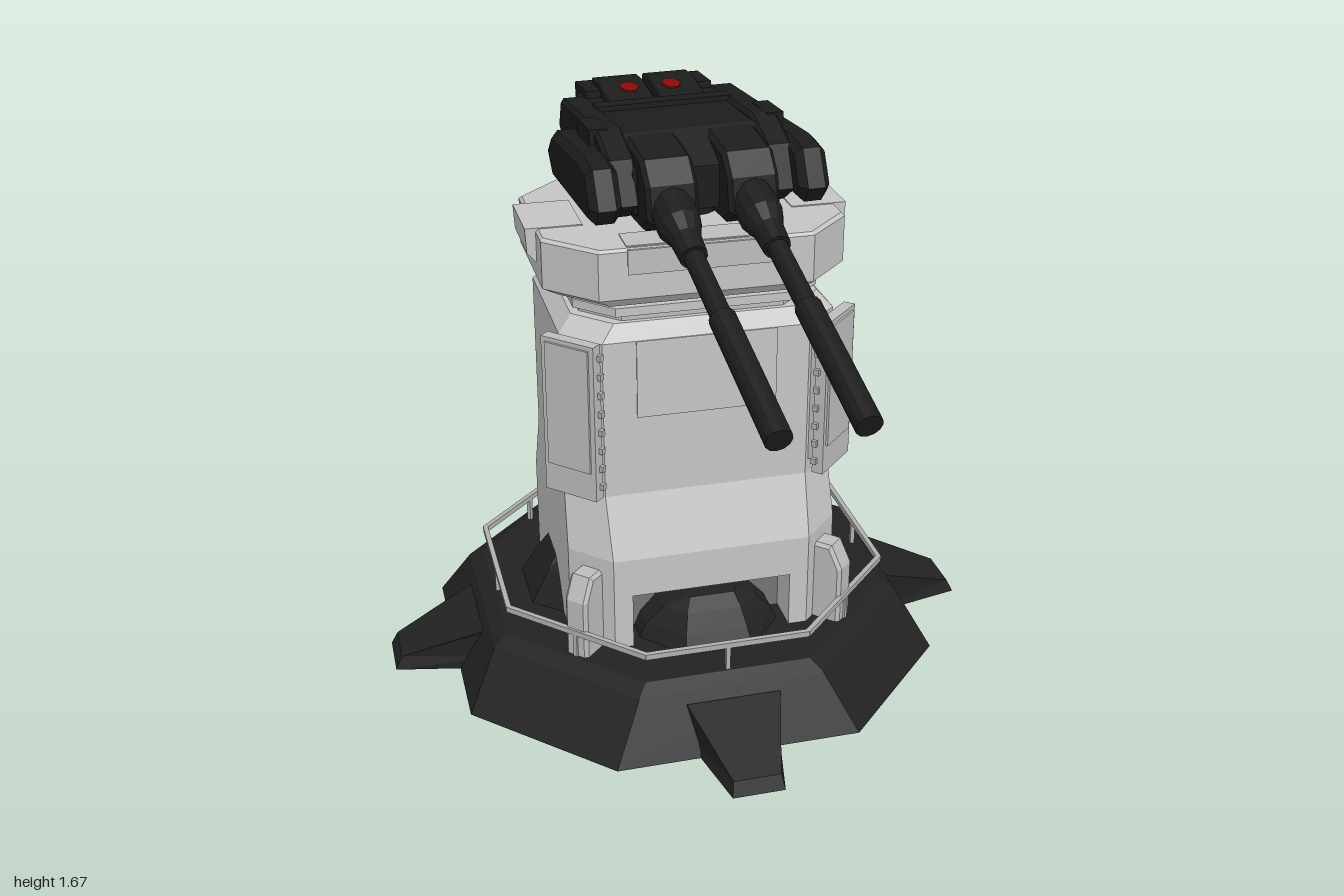
import * as THREE from 'three';

const mat = (name, color) => Object.assign(new THREE.MeshStandardMaterial({ color, flatShading: true }), { name });

// Stack of equal-length rings [[x, z], ...] at rising heights, closed at both ends unless told otherwise
function loft(sections, capBottom = true) {
  const pos = [];
  const tri = (...pts) => pts.forEach((p) => pos.push(...p));
  const rings = sections.map(([y, ring]) => ring.map(([x, z]) => [x, y, z]));
  const n = rings[0].length;
  for (let j = 0; j < rings.length - 1; j++) {
    for (let i = 0; i < n; i++) {
      const k = (i + 1) % n;
      const [a, b, c, d] = [rings[j][i], rings[j][k], rings[j + 1][k], rings[j + 1][i]];
      tri(a, b, c); tri(a, c, d);
    }
  }
  const top = rings[rings.length - 1];
  for (let i = 1; i < n - 1; i++) {
    if (capBottom) tri(rings[0][0], rings[0][i + 1], rings[0][i]);
    tri(top[0], top[i], top[i + 1]);
  }
  const g = new THREE.BufferGeometry();
  g.setAttribute('position', new THREE.Float32BufferAttribute(pos, 3));
  g.computeVertexNormals();
  return g;
}

// Chamfered rectangle, trapezoid and pointed-prow rings
const oct = (x, z, c) => [[-x + c, z], [x - c, z], [x, z - c], [x, -z + c], [x - c, -z], [-x + c, -z], [-x, -z + c], [-x, z - c]];
const trap = (w0, z0, w1, z1) => [[-w0, z0], [-w1, z1], [w1, z1], [w0, z0]];
const prow = (w, z0, z1, nose, z2) => [[-w, z0], [-w, z1], [-nose, z2], [nose, z2], [w, z1], [w, z0]];

// Side profile in (z, y), extruded across x and centred
function sideProfile(points, width, bevel) {
  const shape = new THREE.Shape(points.map(([z, y]) => new THREE.Vector2(z, y)));
  const g = new THREE.ExtrudeGeometry(shape, {
    depth: width - 2 * bevel, bevelEnabled: true, bevelSize: bevel, bevelOffset: -bevel, bevelThickness: bevel, bevelSegments: 1,
  });
  return g.translate(0, 0, -width / 2 + bevel).rotateY(-Math.PI / 2);
}

export function createModel() {
  const model = new THREE.Group();
  model.name = 'gunTower';
  const wall = mat('tower grey', 0xc4c4c4);
  const panelGrey = mat('panel grey', 0xbcbcbc);
  const railGrey = mat('rail grey', 0xb0b0b0);
  const recessGrey = mat('recess grey', 0x747474);
  const baseDark = mat('base charcoal', 0x222222);
  baseDark.side = THREE.DoubleSide;
  const gunDark = mat('gun black', 0x1c1c1c);
  const red = mat('light red', 0x860a0a);

  const add = (parent, name, geo, m, x = 0, y = 0, z = 0) => {
    const mesh = new THREE.Mesh(geo, m);
    mesh.name = name;
    mesh.position.set(x, y, z);
    parent.add(mesh);
    return mesh;
  };
  const box = (parent, name, m, w, h, d, x, y, z) => add(parent, name, new THREE.BoxGeometry(w, h, d), m, x, y, z);
  const group = (parent, name, x = 0, y = 0, z = 0) => {
    const g = new THREE.Group();
    g.name = name;
    g.position.set(x, y, z);
    parent.add(g);
    return g;
  };

  // Base: hollow octagonal skirt with four spurs and four ramps
  const base = group(model, 'base', 0, 0, -0.095);
  add(base, 'skirt', loft([[0, oct(0.715, 0.715, 0.36)], [0.165, oct(0.625, 0.625, 0.355)], [0.19, oct(0.585, 0.585, 0.343)]], false), baseDark);
  const spurGeo = loft([[0, trap(0.14, 0.6, 0.075, 0.905)], [0.04, trap(0.14, 0.6, 0.068, 0.885)], [0.135, trap(0.14, 0.6, 0.137, 0.645)]]);
  const rampGeo = loft([[0.185, prow(0.21, 0.2, 0.36, 0.1, 0.485)], [0.235, prow(0.19, 0.2, 0.36, 0.092, 0.457)],
    [0.29, prow(0.14, 0.2, 0.37, 0.08, 0.425)], [0.33, prow(0.075, 0.2, 0.38, 0.065, 0.4)]]);
  for (let i = 0; i < 4; i++) {
    add(base, 'spur', spurGeo, baseDark).rotation.y = i * Math.PI / 2;
    add(base, 'ramp', rampGeo, baseDark).rotation.y = i * Math.PI / 2;
  }

  // Railing: eight bars with a post in the middle of each
  const railing = group(base, 'railing');
  for (let i = 0; i < 8; i++) {
    const side = group(railing, 'railSide');
    side.rotation.y = i * Math.PI / 4;
    box(side, 'railBar', railGrey, 0.48, 0.017, 0.015, 0, 0.27, 0.574);
    box(side, 'railPost', railGrey, 0.013, 0.085, 0.013, 0, 0.23, 0.574);
  }

  // Tower: notched foot, flared body, neck and collar
  const tower = group(model, 'tower', 0, 0, -0.08);
  const foot = oct(0.4, 0.385, 0.11);
  const notch = (s) => [[-0.235, 0.385], [-0.235, 0.27], [0.235, 0.27], [0.235, 0.385]].map(([x, z]) => [x * s, z * s]);
  const outline = [foot[0], ...notch(1), ...foot.slice(1, 5), ...notch(-1), ...foot.slice(5)];
  const footShape = new THREE.Shape(outline.map(([x, z]) => new THREE.Vector2(x, -z)));
  add(tower, 'foot', new THREE.ExtrudeGeometry(footShape, { depth: 0.175, bevelEnabled: false }).rotateX(-Math.PI / 2), wall, 0, 0.185, 0);
  add(tower, 'floor', new THREE.ShapeGeometry(footShape).rotateX(Math.PI / 2), baseDark, 0, 0.18, 0);
  add(tower, 'body', loft([[0.36, foot], [0.48, foot], [0.655, oct(0.395, 0.315, 0.1)], [1.125, oct(0.395, 0.315, 0.1)],
    [1.17, oct(0.355, 0.285, 0.1)]]), wall);
  add(tower, 'neck', loft([[1.16, oct(0.33, 0.27, 0.1)], [1.25, oct(0.33, 0.27, 0.1)]]), panelGrey);
  add(tower, 'neckRing', loft([[1.19, oct(0.35, 0.29, 0.1)], [1.215, oct(0.35, 0.29, 0.1)]]), wall);
  add(tower, 'collar', loft([[1.225, oct(0.385, 0.295, 0.12)], [1.25, oct(0.43, 0.315, 0.13)], [1.385, oct(0.43, 0.315, 0.13)],
    [1.393, oct(0.422, 0.307, 0.13)]]), wall);
  for (const s of [1, -1]) {
    box(tower, 'collarHatch', panelGrey, 0.44, 0.07, 0.008, 0, 1.355, s * 0.315);
    box(tower, 'collarTopHatch', panelGrey, 0.44, 0.006, 0.1, 0, 1.393, s * 0.25);
    const hatch = add(tower, 'sideHatch', loft([[1.3, trap(0.105, 0.3, 0.105, 0.434)], [1.325, trap(0.105, 0.3, 0.105, 0.456)],
      [1.396, trap(0.105, 0.3, 0.105, 0.46)]]), wall);
    hatch.rotation.y = s * Math.PI / 2;
  }
  box(tower, 'notchWall', recessGrey, 0.468, 0.17, 0.006, 0, 0.273, 0.271);
  box(tower, 'frontPlate', wall, 0.4, 0.23, 0.008, 0, 1.01, 0.315);

  // Diagonal armour panels and buttresses on the two front corners
  const buttress = sideProfile([[-0.1, 0.18], [0.065, 0.18], [0.065, 0.37], [0.03, 0.44], [-0.05, 0.44], [-0.1, 0.4]], 0.075, 0.01);
  for (const s of [1, -1]) {
    const corner = group(tower, 'cornerArmour', s * 0.38, 0, 0.295);
    corner.rotation.y = s * Math.PI / 4;
    box(corner, 'panelMount', panelGrey, 0.12, 0.42, 0.06, 0, 0.905, -0.025);
    box(corner, 'armourPanel', panelGrey, 0.17, 0.47, 0.034, 0, 0.905, -0.003);
    box(corner, 'panelFace', panelGrey, 0.14, 0.37, 0.009, 0, 0.942, 0.016);
    for (let i = 0; i < 8; i++) {
      for (const e of [1, -1]) box(corner, 'panelStud', railGrey, 0.02, 0.018, 0.016, e * 0.086, 0.71 + i * 0.056, -0.012);
    }
    const fin = add(tower, 'buttress', buttress, panelGrey, s * 0.36, 0, 0.345);
    fin.rotation.y = s * Math.PI / 4;
  }

  // Turret, turned slightly to its left
  const turret = group(model, 'turret', 0, 0, -0.1);
  turret.rotation.y = THREE.MathUtils.degToRad(4.5);
  add(turret, 'turntable', new THREE.CylinderGeometry(0.13, 0.13, 0.06, 16), gunDark, 0, 1.42, 0);
  add(turret, 'hull', sideProfile([[-0.34, 1.64], [-0.34, 1.54], [-0.14, 1.42], [0.12, 1.42], [0.23, 1.45], [0.23, 1.57], [0.1, 1.64]], 0.4, 0.01), gunDark);
  const shoulder = sideProfile([[-0.27, 1.645], [-0.3, 1.56], [-0.13, 1.43], [0.17, 1.43], [0.25, 1.485], [0.2, 1.6], [0.08, 1.655]], 0.08, 0.01);
  const pod = sideProfile([[-0.1, 1.605], [-0.16, 1.54], [-0.1, 1.465], [0.28, 1.455], [0.31, 1.5], [0.26, 1.6], [0.18, 1.615]], 0.09, 0.02);
  const mantlet = sideProfile([[0.08, 1.64], [0.08, 1.415], [0.26, 1.415], [0.32, 1.455], [0.3, 1.55], [0.25, 1.61]], 0.146, 0.012);
  const roofHatch = sideProfile([[-0.355, 1.62], [-0.17, 1.62], [-0.17, 1.645], [-0.29, 1.674], [-0.355, 1.674]], 0.14, 0.004);
  for (const s of [1, -1]) {
    add(turret, 'shoulder', shoulder, gunDark, s * 0.225, 0, 0);
    add(turret, 'sidePod', pod, gunDark, s * 0.295, 0, 0);
    box(turret, 'sideBox', gunDark, 0.05, 0.07, 0.12, s * 0.255, 1.62, 0.03);
    box(turret, 'rearProng', gunDark, 0.07, 0.045, 0.12, s * 0.155, 1.638, -0.32);
    box(turret, 'rearLowerProng', gunDark, 0.05, 0.035, 0.1, s * 0.155, 1.578, -0.32);
    add(turret, 'roofHatch', roofHatch, gunDark, s * 0.077, 0, 0);
    const light = add(turret, 'redLight', new THREE.CylinderGeometry(0.029, 0.029, 0.008, 6).rotateY(Math.PI / 6), red, s * 0.064, 1.665, -0.25);
    light.rotation.x = Math.atan2(0.029, 0.12);
    add(turret, 'mantlet', mantlet, gunDark, s * 0.115, 0, 0);

    // Gun: tapered sleeve, thin tube and thicker muzzle, pointing down and forward
    const gun = group(turret, 'gun', s * 0.115, 1.48, 0.3);
    gun.rotation.x = THREE.MathUtils.degToRad(21);
    const tube = (name, r0, r1, from, to) => add(gun, name,
      new THREE.CylinderGeometry(r1, r0, to - from, 12).rotateX(Math.PI / 2), gunDark, 0, 0, (from + to) / 2);
    tube('sleeveBase', 0.062, 0.06, -0.06, 0.07);
    tube('sleeveTaper', 0.06, 0.042, 0.07, 0.12);
    tube('sleeveTip', 0.042, 0.038, 0.12, 0.19);
    tube('barrel', 0.028, 0.028, 0.19, 0.43);
    tube('muzzle', 0.036, 0.036, 0.42, 0.84);
  }
  box(turret, 'roofRidge', gunDark, 0.4, 0.02, 0.05, 0, 1.645, -0.14);
  return model;
}
